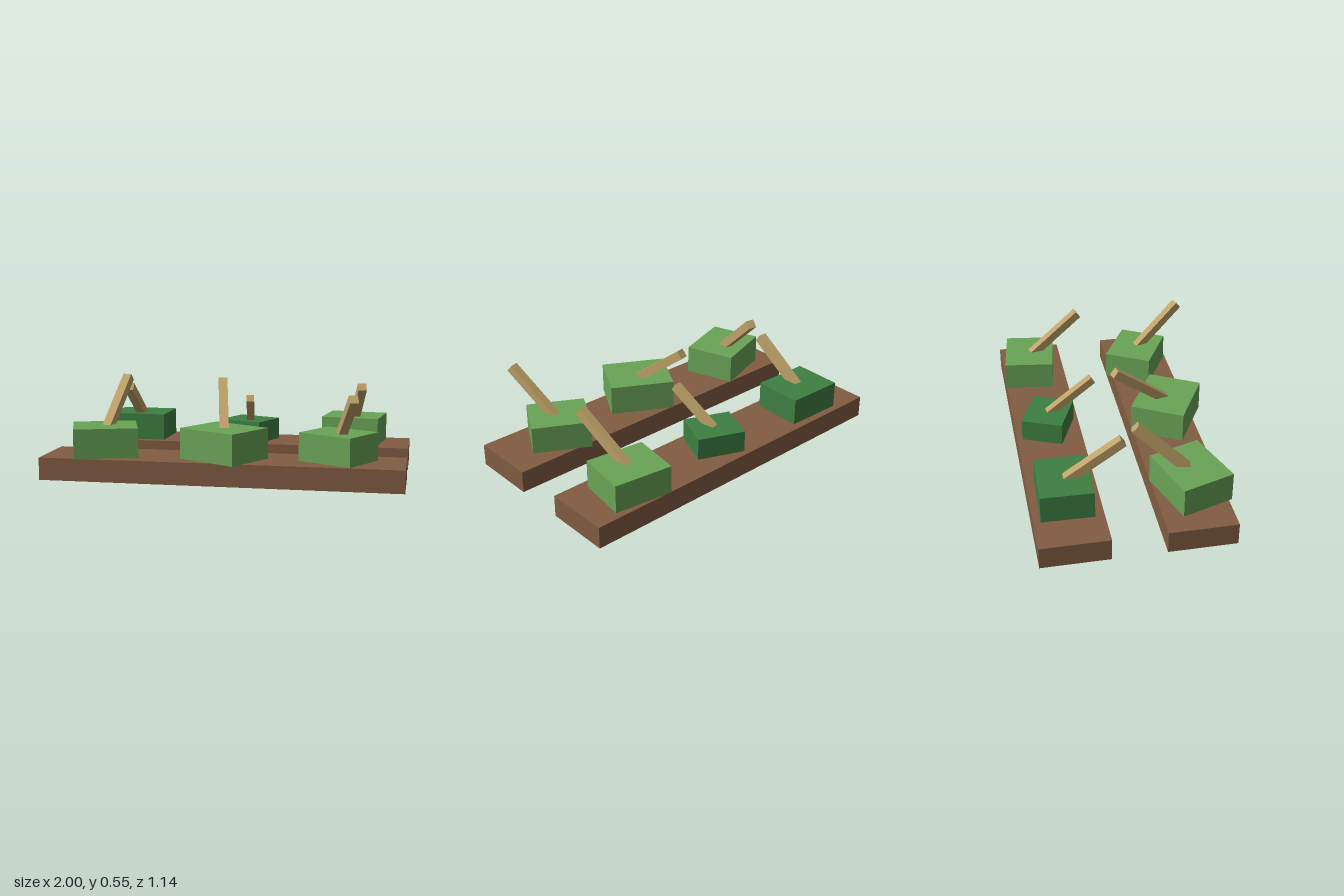
import * as THREE from 'three';

const material = (name, color) => {
  const m = new THREE.MeshStandardMaterial({ color, side: THREE.DoubleSide });
  m.name = name;
  return m;
};

// Box standing on y = 0 with an open underside
function openBox(w, h, d) {
  const g = new THREE.BoxGeometry(w, h, d).translate(0, h / 2, 0);
  const index = Array.from(g.index.array);
  index.splice(18, 6);
  g.setIndex(index);
  g.clearGroups();
  return g;
}

export function createModel() {
  const model = new THREE.Group();
  model.name = 'plantedBeds';
  const soil = material('soilBrown', 0x815d42);
  const lightGreen = material('lightGreen', 0x6aa457);
  const darkGreen = material('darkGreen', 0x3e8042);
  const stalk = material('stalkTan', 0xbfa268);
  const bedTop = 0.125;

  const add = (parent, name, geometry, mat) => {
    const mesh = new THREE.Mesh(geometry, mat);
    mesh.name = name;
    parent.add(mesh);
    return mesh;
  };

  // Two long beds, open below
  for (const [name, z] of [['frontBed', 0.29], ['backBed', -0.376]]) {
    add(model, name, openBox(2, bedTop, 0.374), soil).position.z = z;
  }

  // Leaf blocks: centre x/z, width, top height, depth, turn in degrees;
  // stalks: where the axis leaves the block, tip, thickness
  const plants = [
    { name: 'backLeft', mat: darkGreen, at: [-0.632, -0.379], size: [0.335, 0.28, 0.284], turn: -1.3,
      base: [-0.632, -0.338], tip: [-0.632, 0.467, -0.064], t: 0.05 },
    { name: 'backMiddle', mat: darkGreen, at: [0.04, -0.372], size: [0.272, 0.25, 0.235], turn: -22.5,
      base: [0.048, -0.342], tip: [0.086, 0.408, -0.105], t: 0.044 },
    { name: 'backRight', mat: lightGreen, at: [0.673, -0.402], size: [0.335, 0.285, 0.287], turn: -7.8,
      base: [0.68, -0.36], tip: [0.735, 0.49, -0.089], t: 0.048 },
    { name: 'frontLeft', mat: lightGreen, at: [-0.671, 0.297], size: [0.353, 0.29, 0.3], turn: 18.4,
      base: [-0.658, 0.258], tip: [-0.617, 0.532, 0.002], t: 0.05 },
    { name: 'frontMiddle', mat: lightGreen, at: [0.012, 0.319], size: [0.37, 0.296, 0.309], turn: -29,
      base: [0.006, 0.284], tip: [-0.056, 0.52, 0], t: 0.05 },
    { name: 'frontRight', mat: lightGreen, at: [0.633, 0.264], size: [0.329, 0.281, 0.278], turn: -28.7,
      base: [0.653, 0.298], tip: [0.732, 0.498, 0.547], t: 0.047 },
  ];

  for (const p of plants) {
    const plant = new THREE.Group();
    plant.name = p.name + 'Plant';
    model.add(plant);

    const [w, top, d] = p.size;
    const leaves = add(plant, 'leafBlock', openBox(w, top - bedTop, d), p.mat);
    leaves.position.set(p.at[0], bedTop, p.at[1]);
    leaves.rotation.y = THREE.MathUtils.degToRad(p.turn);

    // Leaning square stalk, sunk a little into the block
    const tip = new THREE.Vector3(...p.tip);
    const base = new THREE.Vector3(p.base[0], top, p.base[1]);
    const dir = tip.clone().sub(base).normalize();
    base.addScaledVector(dir, -0.07);
    const length = tip.distanceTo(base);
    const stick = add(plant, 'stalk', new THREE.BoxGeometry(p.t, p.t, length), stalk);
    stick.position.copy(base).add(tip).multiplyScalar(0.5);
    stick.lookAt(tip);
  }
  return model;
}
